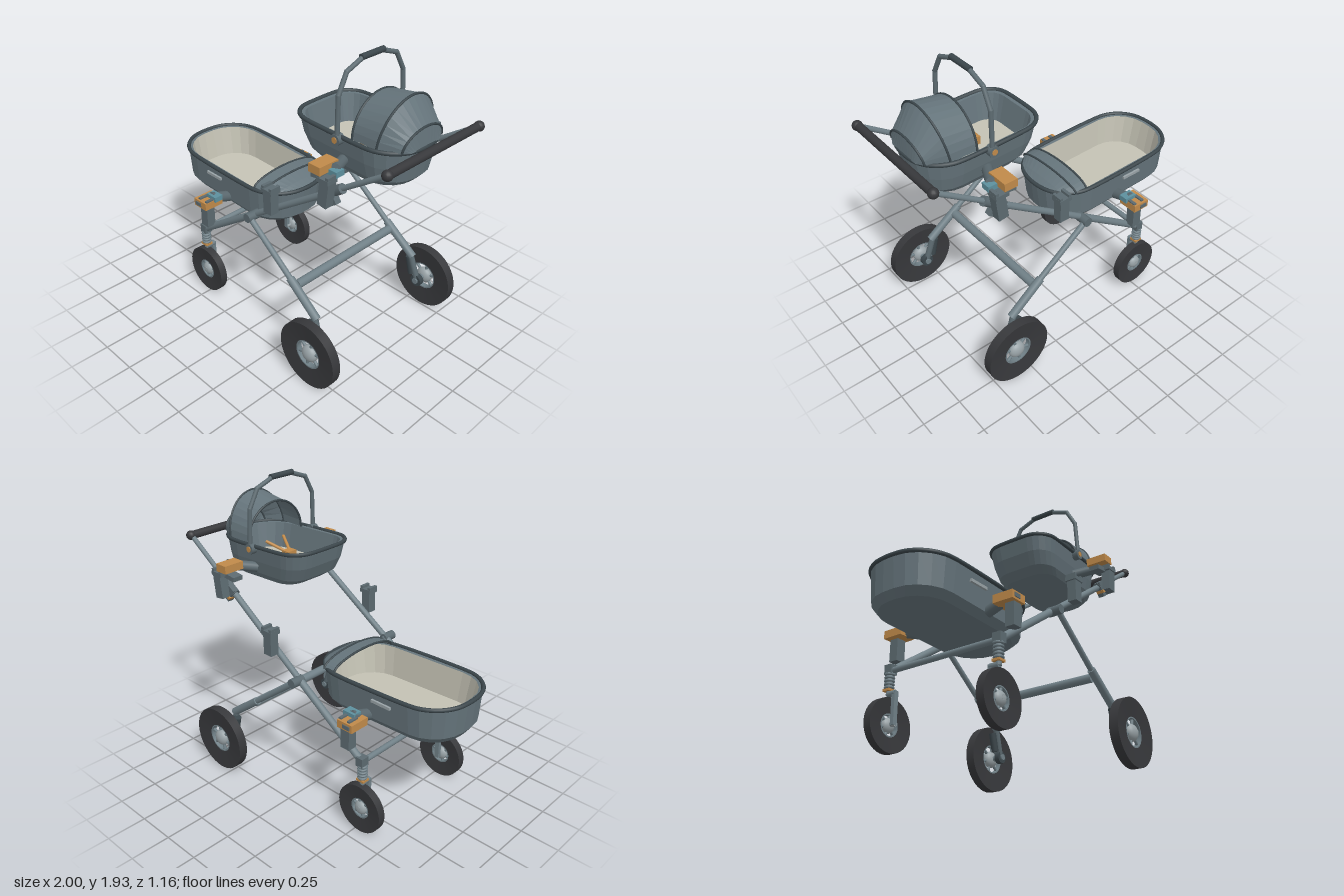
import * as THREE from 'three';
import { toCreasedNormals } from 'three/addons/utils/BufferGeometryUtils.js';

const mat = (name, color, double) => {
  const m = new THREE.MeshStandardMaterial({ color });
  m.name = name;
  if (double) m.side = THREE.DoubleSide;
  return m;
};

export function createModel() {
  const M = {
    fabric: mat('slate fabric', 0x65747b, true),
    trim: mat('dark trim', 0x3b464b),
    liner: mat('beige liner', 0xc4c2b4, true),
    metal: mat('grey metal', 0x708087),
    plastic: mat('grey plastic', 0x5c6a70),
    rubber: mat('black rubber', 0x37383b),
    light: mat('light hub', 0x98a2a6),
    clip: mat('orange clip', 0xc08a4a),
    teal: mat('teal latch', 0x5d909e),
  };
  const root = new THREE.Group();
  root.name = 'doubleStroller';
  const V = (x, y, z) => new THREE.Vector3(x, y, z);

  const add = (name, geo, material, parent = root) => {
    const m = new THREE.Mesh(geo, material);
    m.name = name;
    parent.add(m);
    return m;
  };
  const box = (name, x, y, z, w, h, d, material, tilt = 0) => {
    const m = add(name, new THREE.BoxGeometry(w, h, d), material);
    m.position.set(x, y, z);
    m.rotation.z = tilt;
    return m;
  };
  const rod = (name, a, b, r, material, parent = root, r2 = r) => {
    const d = b.clone().sub(a);
    const m = add(name, new THREE.CylinderGeometry(r2, r, d.length(), 14), material, parent);
    m.position.copy(a).addScaledVector(d, 0.5);
    m.quaternion.setFromUnitVectors(V(0, 1, 0), d.normalize());
    return m;
  };
  const tube = (name, pts, r, material, closed = false) => {
    const path = new THREE.CatmullRomCurve3(pts, closed, 'centripetal');
    return add(name, new THREE.TubeGeometry(path, pts.length * 3, r, 8, closed), material);
  };

  // Faceted skin through a list of equal-length rings
  const loft = (rings, closed) => {
    const n = rings[0].length, idx = [];
    for (let i = 0; i + 1 < rings.length; i++) {
      for (let j = 0; j < (closed ? n : n - 1); j++) {
        const a = i * n + j, b = i * n + (j + 1) % n;
        idx.push(a, a + n, b + n, a, b + n, b);
      }
    }
    const g = new THREE.BufferGeometry().setFromPoints(rings.flat());
    g.setIndex(idx);
    const flat = g.toNonIndexed();
    flat.computeVertexNormals();
    return flat;
  };

  // Rounded outline of a tub at one height: rl and rr are the corner radii at each end
  const outline = ({ x0, x1, w, y, rl, rr, slope }) => {
    const mid = (x0 + x1) / 2, pts = [];
    [[x1 - rr, 1, rr], [x0 + rl, 1, rl], [x0 + rl, -1, rl], [x1 - rr, -1, rr]].forEach(([cx, s, r], k) => {
      for (let i = 0; i <= 5; i++) {
        const t = (k + i / 5) * Math.PI / 2;
        const x = cx + r * Math.cos(t);
        pts.push(V(x, y + slope * (x - mid), s * (w - r) + r * Math.sin(t)));
      }
    });
    return pts;
  };
  const centre = (o) => outline({ ...o, x0: (o.x0 + o.x1) / 2 - 0.001, x1: (o.x0 + o.x1) / 2 + 0.001, w: 0.001, rl: 0.001, rr: 0.001 });

  const tub = (name, levels, inner, wallMaterial) => {
    const outer = levels.map(outline), lining = inner.map(outline);
    const rim = outer[outer.length - 1], floor = lining[lining.length - 1];
    add(name + 'Shell', loft([centre(levels[0]), ...outer], true), M.fabric);
    add(name + 'Lip', loft([rim, lining[0]], true), M.fabric);
    add(name + 'InnerWall', loft(lining, true), wallMaterial);
    add(name + 'Floor', loft([floor, centre(inner[inner.length - 1])], true), M.liner);
    tube(name + 'Rim', rim, 0.013, M.trim, true);
  };

  // Hood from arches: [base x, peak x, half width, base y, height]
  const hood = (name, arches, edged) => {
    const rings = arches.map(([bx, px, w, y, h]) => Array.from({ length: 17 }, (_, i) => {
      const t = Math.PI * i / 16, s = Math.sin(t);
      return V(bx + (px - bx) * s, y + h * s, w * Math.cos(t));
    }));
    add(name, loft(rings, false), M.fabric);
    for (let i = 0; i < edged; i++) tube(name + 'Piping', rings[i], 0.007, M.trim);
  };

  // Lower carrycot
  const low = { slope: -0.032, rl: 0.24, rr: 0.25 };
  tub('carrycot', [
    { ...low, x0: -0.94, x1: -0.05, w: 0.225, y: 0.66, rl: 0.2, rr: 0.2 },
    { ...low, x0: -0.972, x1: 0.005, w: 0.26, y: 0.705, rl: 0.22, rr: 0.23 },
    { ...low, x0: -0.988, x1: 0.03, w: 0.275, y: 0.9 },
  ], [
    { ...low, x0: -0.962, x1: 0.005, w: 0.25, y: 0.895, rl: 0.215, rr: 0.225 },
    { ...low, x0: -0.925, x1: -0.03, w: 0.23, y: 0.7, rl: 0.19, rr: 0.2 },
  ], M.liner);
  hood('carrycotHood', [
    [-0.18, -0.18, 0.262, 0.89, 0.07], [-0.1, -0.09, 0.262, 0.888, 0.065],
    [-0.03, -0.02, 0.2, 0.887, 0.03], [0.015, 0.02, 0.13, 0.886, 0.002]], 2);

  // Upper infant seat
  const up = { slope: -0.035 };
  tub('infantSeat', [
    { ...up, x0: 0.26, x1: 0.84, w: 0.19, y: 1.285, rl: 0.11, rr: 0.17 },
    { ...up, x0: 0.2, x1: 0.875, w: 0.215, y: 1.325, rl: 0.12, rr: 0.18 },
    { ...up, x0: 0.16, x1: 0.89, w: 0.235, y: 1.41, rl: 0.13, rr: 0.2 },
    { ...up, x0: 0.135, x1: 0.905, w: 0.25, y: 1.515, rl: 0.14, rr: 0.22 },
  ], [
    { ...up, x0: 0.165, x1: 0.88, w: 0.225, y: 1.512, rl: 0.12, rr: 0.2 },
    { ...up, x0: 0.205, x1: 0.85, w: 0.19, y: 1.35, rl: 0.09, rr: 0.17 },
  ], M.fabric);
  hood('infantSeatHood', [
    [0.59, 0.59, 0.225, 1.51, 0.22], [0.76, 0.8, 0.228, 1.51, 0.255],
    [0.88, 0.9, 0.165, 1.51, 0.11], [0.905, 0.91, 0.12, 1.505, 0.002]], 3);

  // Carry handle with grip
  const hoop = [[1.5, 0.272], [1.75, 0.262], [1.865, 0.2], [1.905, 0.09]];
  const hx = (y) => 0.525 - (y - 1.5) * 0.025;
  rod('carryGrip', V(0.515, 1.913, -0.09), V(0.515, 1.913, 0.09), 0.018, M.trim);
  for (const s of [1, -1]) {
    hoop.slice(1).forEach(([y, z], i) => {
      rod('carryHandle', V(hx(hoop[i][0]), hoop[i][0], s * hoop[i][1]), V(hx(y), y, s * z), 0.014, M.plastic);
      add('handleKnuckle', new THREE.SphereGeometry(0.0145, 10, 8), M.plastic).position.set(hx(y), y, s * z);
    });
    rod('handlePivot', V(0.52, 1.5, s * 0.24), V(0.52, 1.5, s * 0.287), 0.034, M.plastic);
    rod('pivotButton', V(0.52, 1.5, s * 0.28), V(0.52, 1.5, s * 0.291), 0.018, M.clip);
    rod('harnessStrap', V(0.47, 1.42, s * 0.01), V(0.6, 1.48, s * 0.075), 0.01, M.clip);
    box('carrycotSideGrip', -0.56, 0.835, s * 0.274, 0.14, 0.018, 0.02, M.light);
  }
  box('harnessBuckle', 0.468, 1.41, 0, 0.06, 0.05, 0.07, M.clip);
  rod('crotchStrap', V(0.468, 1.345, 0), V(0.468, 1.42, 0), 0.012, M.clip);

  // Wheel: dished tyre, rim ring, spokes and round hub
  const wheel = (name, x, y, z, R, ri, width, hub) => {
    const g = new THREE.Group();
    g.name = name;
    g.position.set(x, y, z);
    root.add(g);
    const a = width * 0.3, b = width * 0.5;
    const ring = (pts, m, n) => {
      const geo = new THREE.LatheGeometry(pts.map((p) => new THREE.Vector2(...p)), 40);
      add(n, toCreasedNormals(geo.rotateX(Math.PI / 2), 0.6), m, g);
    };
    ring([[ri, -a], [R, -b], [R, b], [ri, a], [ri, -a]], M.rubber, 'tyre');
    ring([[ri - 0.008, -a], [ri, -a], [ri, a], [ri - 0.008, a], [ri - 0.008, -a]], M.metal, 'rim');
    add('hub', new THREE.SphereGeometry(hub, 20, 14), M.light, g).scale.z = 0.7;
    for (let i = 0; i < 6; i++) {
      const t = i * Math.PI / 3 + 0.3;
      rod('spoke', V(0, 0, 0), V(Math.cos(t) * ri, Math.sin(t) * ri, 0), 0.01, M.metal, g);
    }
  };

  // Socket post with a notched top
  const post = (x, y, z, h, tilt) => {
    box('adapterPost', x, y, z, 0.065, h, 0.06, M.plastic, tilt);
    const top = y + h / 2;
    box('postCollar', x, top, z, 0.085, 0.025, 0.075, M.plastic);
    for (const d of [-0.032, 0.032]) box('postProng', x + d, top + 0.015, z, 0.02, 0.03, 0.07, M.plastic);
  };

  for (const s of [1, -1]) {
    const P = (x, y, z) => V(x, y, s * z);

    // Frame tubes
    rod('lowerTube', P(-0.53, 0.49, 0.395), P(-0.01, 0.845, 0.395), 0.023, M.metal);
    rod('hinge', P(-0.02, 0.835, 0.375), P(-0.02, 0.835, 0.465), 0.03, M.plastic);
    rod('middleTube', P(-0.01, 0.845, 0.395), P(0.62, 1.27, 0.385), 0.02, M.metal);
    rod('upperTube', P(0.6, 1.26, 0.385), P(0.97, 1.51, 0.38), 0.016, M.metal);
    rod('tubeSleeve', P(0.55, 1.225, 0.385), P(0.68, 1.313, 0.385), 0.029, M.plastic);
    rod('rearLeg', P(-0.03, 0.84, 0.44), P(0.4, 0.513, 0.44), 0.018, M.metal);
    rod('rearLegSleeve', P(0.33, 0.566, 0.44), P(0.56, 0.392, 0.445), 0.026, M.metal);
    add('handleCap', new THREE.SphereGeometry(0.031, 14, 10), M.rubber).position.copy(P(0.97, 1.51, 0.385));

    // Carrycot adapter
    post(-0.452, 0.66, s * 0.43, 0.17, 0);
    box('lowerClip', -0.465, 0.74, s * 0.41, 0.115, 0.05, 0.135, M.clip);
    box('clipButton', -0.48, 0.74, s * 0.479, 0.05, 0.025, 0.008, M.plastic);
    box('lowerLatch', -0.435, 0.772, s * 0.38, 0.085, 0.035, 0.06, M.teal);
    rod('lowerArm', P(-0.45, 0.765, 0.4), P(-0.45, 0.715, 0.25), 0.035, M.plastic);

    // Infant seat adapter
    post(0.615, 1.285, s * 0.44, 0.16, -0.12);
    box('tubeClamp', 0.6, 1.235, s * 0.395, 0.085, 0.1, 0.04, M.plastic, 0.6);
    box('adapterPlate', 0.56, 1.355, s * 0.405, 0.13, 0.03, 0.07, M.plastic, 0.12);
    box('upperClip', 0.56, 1.415, s * 0.41, 0.085, 0.05, 0.14, M.clip);
    box('upperLatch', 0.625, 1.392, s * 0.385, 0.07, 0.035, 0.06, M.teal);
    rod('upperArm', P(0.62, 1.405, 0.385), P(0.53, 1.365, 0.22), 0.032, M.plastic);
    box('clampLever', 0.59, 1.21, s * 0.4, 0.05, 0.02, 0.05, M.clip, 0.6);

    // Spare mid-frame socket
    post(0.175, 1.035, s * 0.44, 0.15, 0);

    // Front suspension, fork and wheel
    box('frontBracket', -0.53, 0.495, s * 0.395, 0.05, 0.06, 0.055, M.plastic);
    rod('shockRod', P(-0.535, 0.34, 0.395), P(-0.535, 0.49, 0.395), 0.017, M.metal);
    for (let i = 0; i < 5; i++) {
      const coil = add('springCoil', new THREE.TorusGeometry(0.024, 0.008, 8, 16), M.metal);
      coil.position.copy(P(-0.535, 0.385 + i * 0.02, 0.395));
      coil.rotation.x = Math.PI / 2;
    }
    box('swivelLock', -0.535, 0.368, s * 0.395, 0.055, 0.014, 0.05, M.clip);
    rod('forkCrown', P(-0.535, 0.345, 0.4), P(-0.535, 0.345, 0.34), 0.018, M.metal);
    box('forkBlade', -0.535, 0.255, s * 0.345, 0.03, 0.2, 0.025, M.metal);
    rod('frontAxle', P(-0.53, 0.165, 0.335), P(-0.53, 0.165, 0.425), 0.016, M.light);
    wheel('frontWheel', -0.53, 0.162, s * 0.395, 0.16, 0.068, 0.05, 0.045);

    // Rear drop link, damper and wheel
    rod('rearDropLink', P(0.54, 0.405, 0.445), P(0.6, 0.22, 0.455), 0.02, M.plastic);
    rod('rearDamper', P(0.52, 0.37, 0.46), P(0.55, 0.25, 0.46), 0.024, M.trim);
    rod('rearAxle', P(0.6, 0.22, 0.43), P(0.6, 0.22, 0.56), 0.02, M.metal);
    rod('brakeDrum', P(0.6, 0.22, 0.44), P(0.6, 0.22, 0.475), 0.04, M.trim);
    wheel('rearWheel', 0.597, 0.218, s * 0.54, 0.216, 0.095, 0.06, 0.055);
  }

  // Cross members and push bar
  rod('rearCrossbar', V(0.37, 0.53, -0.42), V(0.37, 0.53, 0.42), 0.028, M.metal);
  rod('frontCrossbar', V(-0.53, 0.49, -0.395), V(-0.53, 0.49, 0.395), 0.018, M.metal);
  rod('pushBar', V(0.968, 1.51, -0.375), V(0.968, 1.51, 0.375), 0.026, M.rubber);

  return root;
}
